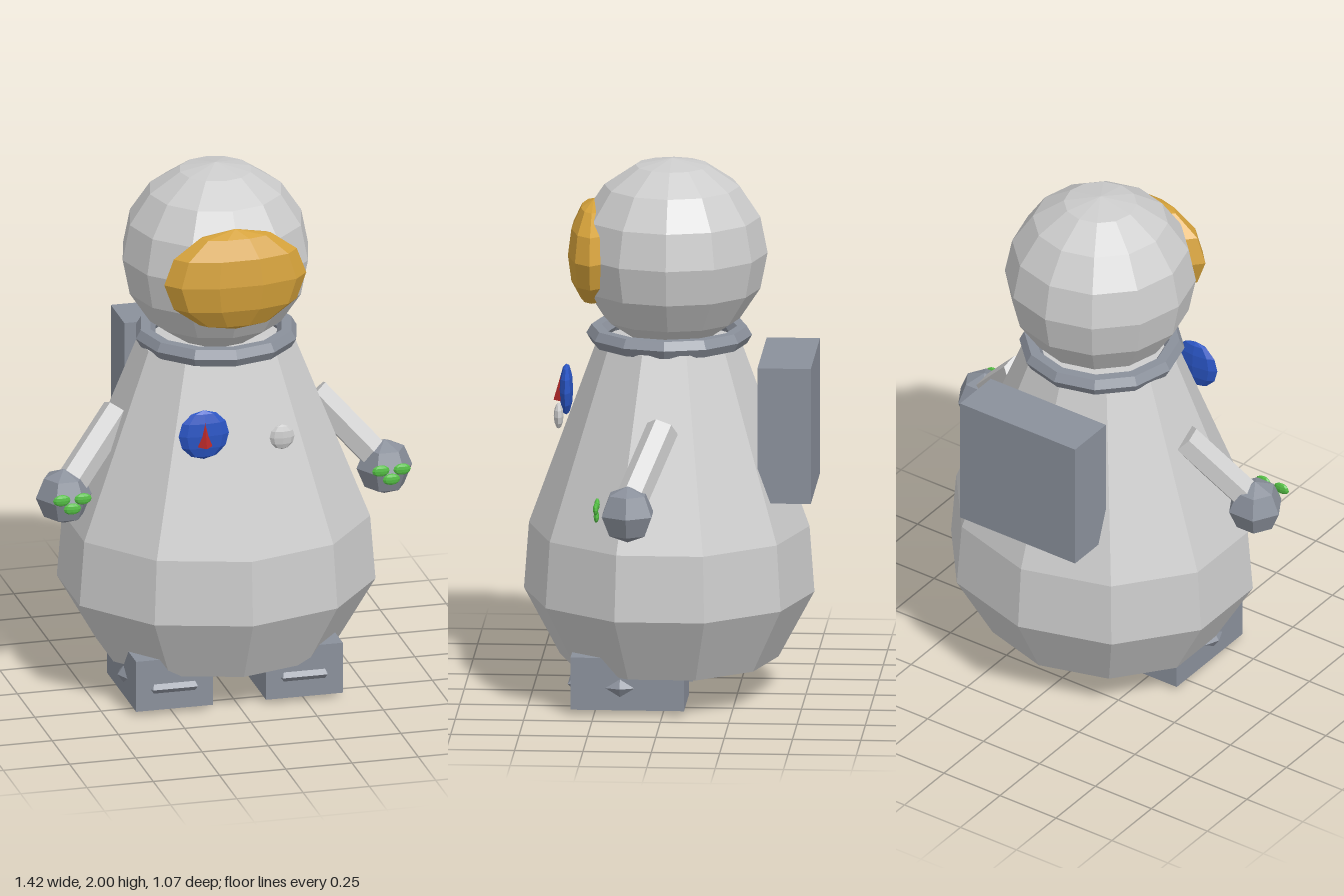
import * as THREE from 'three';

const mat = (color) => new THREE.MeshStandardMaterial({ color, flatShading: true });

export function createModel() {
  const root = new THREE.Group();
  const suit = mat(0xcccccc);
  const trim = mat(0x8a909b);
  const gold = mat(0xd4a13a);
  const blue = mat(0x2a55c4);
  const red = mat(0xbb2a2a);
  const green = mat(0x55c045);

  const add = (name, geometry, material, x = 0, y = 0, z = 0, parent = root) => {
    const mesh = new THREE.Mesh(geometry, material);
    mesh.name = name;
    mesh.position.set(x, y, z);
    parent.add(mesh);
    return mesh;
  };
  const ellipsoid = (rx, ry, rz, w, h) => new THREE.SphereGeometry(1, w, h).scale(rx, ry, rz);

  // Pear-shaped body, a little wider than deep
  const profile = [[0, 0.14], [0.442, 0.14], [0.587, 0.385], [0.567, 0.63], [0.29, 1.32], [0, 1.34]]
    .map(([r, y]) => new THREE.Vector2(r, y));
  add('body', new THREE.LatheGeometry(profile, 10).scale(1, 1, 0.905), suit);

  // Helmet, visor and collar
  add('helmet', new THREE.SphereGeometry(0.35, 12, 8), suit, 0, 1.65, -0.01);
  add('visor', ellipsoid(0.268, 0.195, 0.095, 10, 6), gold, 0, 1.648, 0.275);
  add('collar', new THREE.TorusGeometry(0.266, 0.037, 6, 12).rotateX(Math.PI / 2), trim, 0, 1.342, 0);

  // Backpack
  add('backpack', new THREE.BoxGeometry(0.514, 0.505, 0.195), trim, 0, 1.022, -0.437);

  // Chest badge with a small pointed emblem, and a round button
  add('badge', ellipsoid(0.095, 0.095, 0.025, 8, 6), blue, -0.148, 1.095, 0.386);
  add('badgePoint', new THREE.ConeGeometry(0.03, 0.105, 4), red, -0.148, 1.107, 0.403);
  add('button', ellipsoid(0.047, 0.048, 0.018, 8, 6), suit, 0.145, 1.062, 0.395);

  for (const side of [1, -1]) {
    const label = side > 0 ? 'left' : 'right';

    // Arm, hand and fingertip studs
    const arm = new THREE.Group();
    arm.name = label + 'Arm';
    root.add(arm);
    const shoulder = new THREE.Vector3(side * 0.37, 1.07, 0);
    const wrist = new THREE.Vector3(side * 0.6, 0.815, 0.115);
    const axis = wrist.clone().sub(shoulder);
    const mid = shoulder.clone().add(wrist).multiplyScalar(0.5);
    const sleeve = add('sleeve', new THREE.CylinderGeometry(0.06, 0.06, axis.length(), 6), suit,
      mid.x, mid.y, mid.z, arm);
    sleeve.quaternion.setFromUnitVectors(new THREE.Vector3(0, 1, 0), axis.negate().normalize());
    add('hand', new THREE.SphereGeometry(0.105, 6, 4), trim, side * 0.605, 0.8, 0.113, arm);
    for (const [dx, y] of [[-0.04, 0.826], [0.04, 0.826], [0, 0.79]]) {
      add('stud', ellipsoid(0.033, 0.022, 0.01, 8, 6), green, side * (0.602 + dx), y, 0.227, arm);
    }

    // Boot with a faceted toe bulge pushing through its sides
    const boot = new THREE.Group();
    boot.name = label + 'Boot';
    root.add(boot);
    add('bootBlock', new THREE.BoxGeometry(0.29, 0.195, 0.415), trim, side * 0.245, 0.115, 0.128, boot);
    add('toe', ellipsoid(0.168, 0.1, 0.225, 6, 4), trim, side * 0.245, 0.1, 0.155, boot);
  }
  return root;
}
